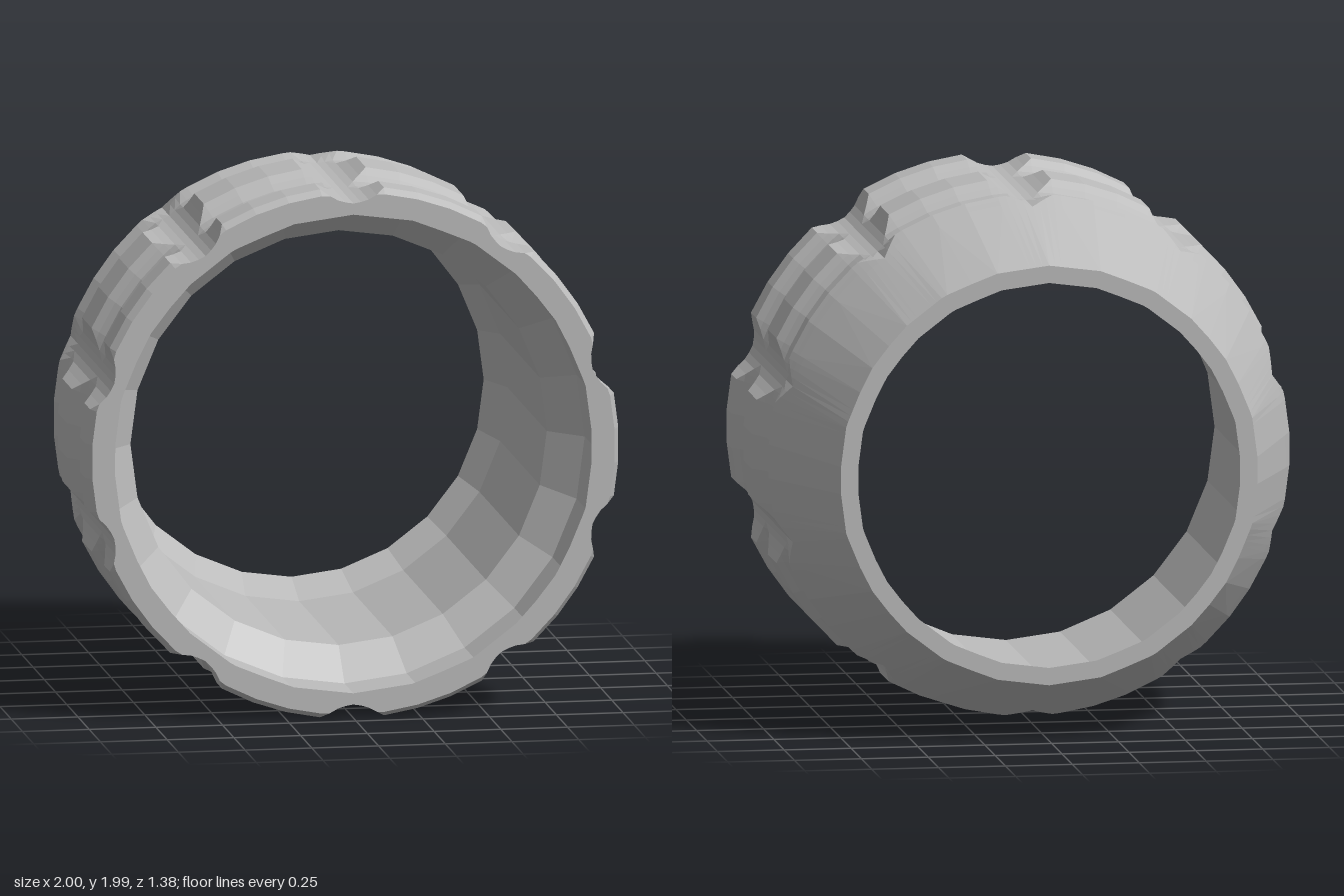
import * as THREE from 'three';

const CENTER_Y = 0.993;
const GROOVES = 10;
const STEP = (Math.PI * 2) / GROOVES;
const BORE_SIDES = 24;

// Piecewise-linear lookup in [position, radius] pairs sorted by rising position
function lookup(points, x) {
  for (let i = 1; i < points.length; i++) {
    const [x0, y0] = points[i - 1], [x1, y1] = points[i];
    if (x <= x1) return y0 + ((y1 - y0) * (x - x0)) / (x1 - x0);
  }
  return points[points.length - 1][1];
}

// Radius factor of a regular polygon with a corner at angle 0
function polygon(angle) {
  const s = (Math.PI * 2) / BORE_SIDES;
  const local = (((angle % s) + s) % s) - s / 2;
  return Math.cos(s / 2) / Math.cos(local);
}

// Skin closed rings about the z axis; each row is { z, r(angle) }
function loft(rows, angles) {
  const pos = [], index = [], n = angles.length;
  const radii = rows.map((row) => angles.map(row.r));
  rows.forEach((row, i) => angles.forEach((a, j) => {
    pos.push(Math.cos(a) * radii[i][j], Math.sin(a) * radii[i][j], row.z);
  }));
  for (let i = 0; i < rows.length - 1; i++) {
    for (let j = 0; j < n; j++) {
      const k = (j + 1) % n;
      const a = i * n + j, b = i * n + k, c = a + n, d = b + n;
      // Split each quad along its higher diagonal so bevelled corners stay clean
      if (radii[i][j] + radii[i + 1][k] > radii[i][k] + radii[i + 1][j]) {
        index.push(a, c, d, a, d, b);
      } else {
        index.push(a, c, b, b, c, d);
      }
    }
  }
  const g = new THREE.BufferGeometry();
  g.setAttribute('position', new THREE.Float32BufferAttribute(pos, 3));
  g.setIndex(index);
  const flat = g.toNonIndexed();
  flat.computeVertexNormals();
  return flat;
}

export function createModel() {
  const group = new THREE.Group();
  group.name = 'knurledRing';
  const grey = new THREE.MeshStandardMaterial({ color: 0xbbbbbb, flatShading: true });
  grey.name = 'grey';

  // Outer profile from back to front: tapered collar, two raised bands
  const profile = [
    [-0.69, 0.785], [-0.285, 0.942], [-0.257, 0.953], [-0.228, 0.964], [-0.2, 0.975],
    [-0.12, 0.953], [-0.04, 0.957], [0, 0.976], [0.04, 1], [0.25, 1], [0.29, 0.976],
    [0.33, 0.957], [0.395, 0.952], [0.46, 0.957], [0.495, 0.976], [0.53, 1],
    [0.655, 1], [0.69, 0.98],
  ];
  // Lengthwise groove sections (angle from the middle, radius): round, then a V at the tip
  const groove = [[0, 0.942], [0.03, 0.947], [0.06, 0.957], [0.09, 0.976], [0.12, 1], [1, 1.7]];
  const grooveTip = [[0, 0.942], [0.09, 0.975], [1, 1.3]];

  // Columns: close together across each groove, wide facets over each block
  const offsets = [-0.12, -0.09, -0.06, -0.03, 0, 0.03, 0.06, 0.09, 0.12, 0.249, 0.379];
  const angles = [];
  for (let i = 0; i < GROOVES; i++) {
    for (const o of offsets) angles.push(Math.PI / 2 + i * STEP + o);
  }
  const grooveRadius = (section, a) => {
    const t = (a - Math.PI / 2) / STEP;
    return lookup(section, Math.abs(t - Math.round(t)) * STEP);
  };

  // Outer shell with its front and back rims
  const rows = [{ z: 0.69, r: (a) => 0.9 * polygon(a) }];
  for (const [z, radius] of [...profile].reverse()) {
    const section = z <= -0.2 ? grooveTip : groove;
    const r = z < -0.3
      ? (a) => radius * polygon(a)
      : (a) => Math.min(radius, grooveRadius(section, a));
    rows.push({ z, r });
  }
  rows.push({ z: -0.69, r: (a) => 0.72 * polygon(a) });
  const shell = new THREE.Mesh(loft(rows, angles), grey);
  shell.name = 'outerShell';

  // Bore: tapered lip at the back, straight wall, chamfer and a wider mouth at the front
  const boreAngles = Array.from({ length: BORE_SIDES }, (_, i) => (i / BORE_SIDES) * Math.PI * 2);
  const boreRows = [[-0.69, 0.72], [-0.52, 0.78], [0.36, 0.78], [0.49, 0.9], [0.69, 0.9]]
    .map(([z, radius]) => ({ z, r: () => radius }));
  const bore = new THREE.Mesh(loft(boreRows, boreAngles), grey);
  bore.name = 'bore';

  for (const part of [shell, bore]) {
    part.position.y = CENTER_Y;
    group.add(part);
  }
  return group;
}
